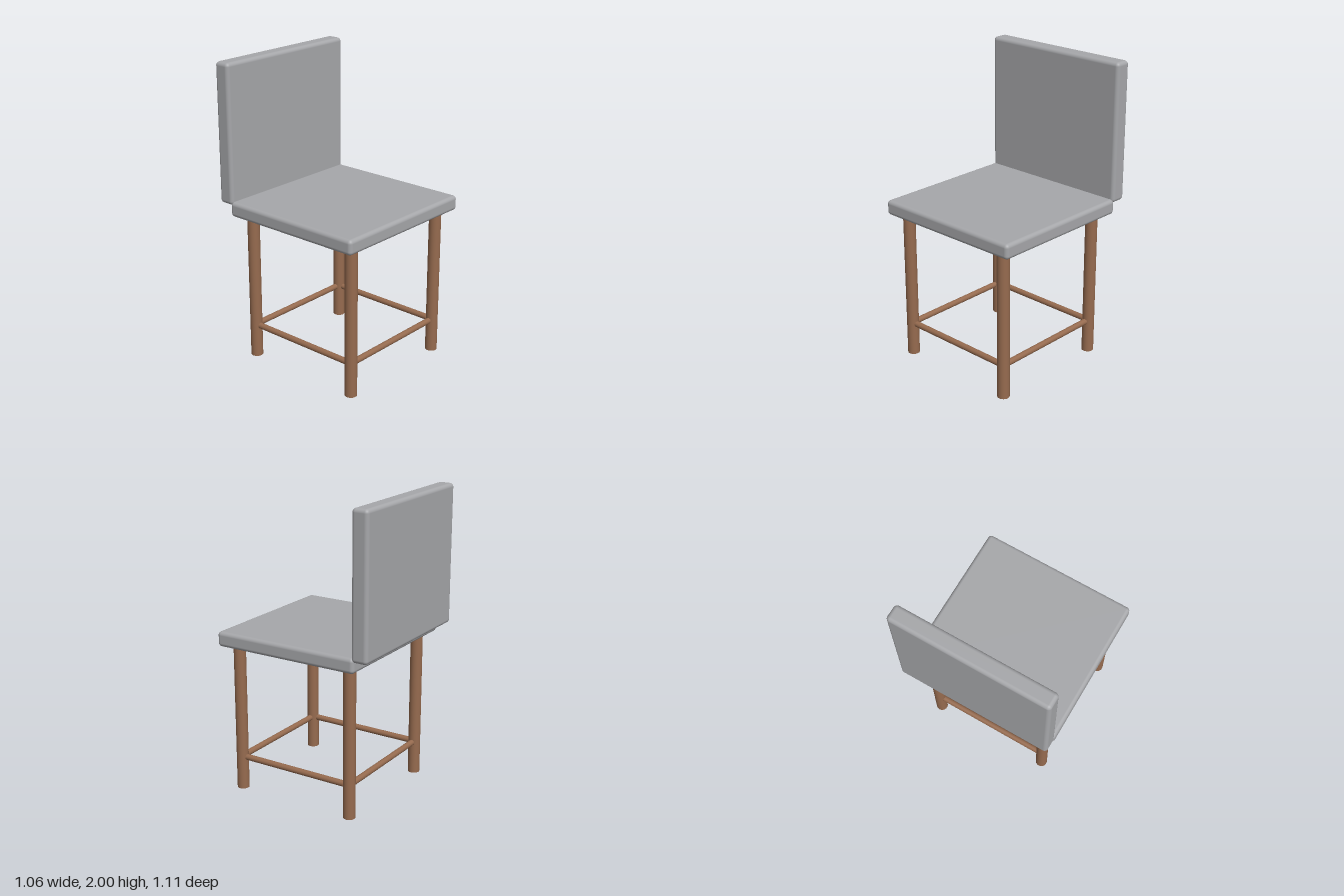
import * as THREE from 'three';
import { RoundedBoxGeometry } from 'three/addons/geometries/RoundedBoxGeometry.js';

export function createModel() {
  const chair = new THREE.Group();
  chair.name = 'chair';
  const fabric = new THREE.MeshStandardMaterial({ color: 0xa6a7aa });
  fabric.name = 'grey fabric';
  const wood = new THREE.MeshStandardMaterial({ color: 0x966b4f });
  wood.name = 'brown wood';

  const add = (name, geometry, material, x, y, z) => {
    const mesh = new THREE.Mesh(geometry, material);
    mesh.name = name;
    mesh.position.set(x, y, z);
    chair.add(mesh);
    return mesh;
  };

  // Cushions
  add('seat', new RoundedBoxGeometry(1.064, 0.1, 1.017, 4, 0.025), fabric, 0, 1.05, 0.047);
  add('backrest', new RoundedBoxGeometry(1.064, 0.926, 0.112, 4, 0.025), fabric, 0, 1.537, -0.5);

  // Legs and the rungs that span the gaps between them
  const legX = 0.418, frontZ = 0.465, backZ = -0.37;
  const midZ = (frontZ + backZ) / 2, legR = 0.04, rungR = 0.02, rungY = 0.222;
  const legGeometry = new THREE.CylinderGeometry(legR, legR, 1.002, 24);
  const crossRung = new THREE.CylinderGeometry(rungR, rungR, 2 * (legX - legR) + 0.006, 16);
  crossRung.rotateZ(Math.PI / 2);
  const sideRung = new THREE.CylinderGeometry(rungR, rungR, frontZ - backZ - 2 * legR + 0.006, 16);
  sideRung.rotateX(Math.PI / 2);

  for (const [end, z] of [['front', frontZ], ['back', backZ]]) {
    add(end + 'LeftLeg', legGeometry, wood, legX, 0.501, z);
    add(end + 'RightLeg', legGeometry, wood, -legX, 0.501, z);
    add(end + 'Rung', crossRung, wood, 0, rungY, z);
  }
  add('leftRung', sideRung, wood, legX, rungY, midZ);
  add('rightRung', sideRung, wood, -legX, rungY, midZ);

  return chair;
}
